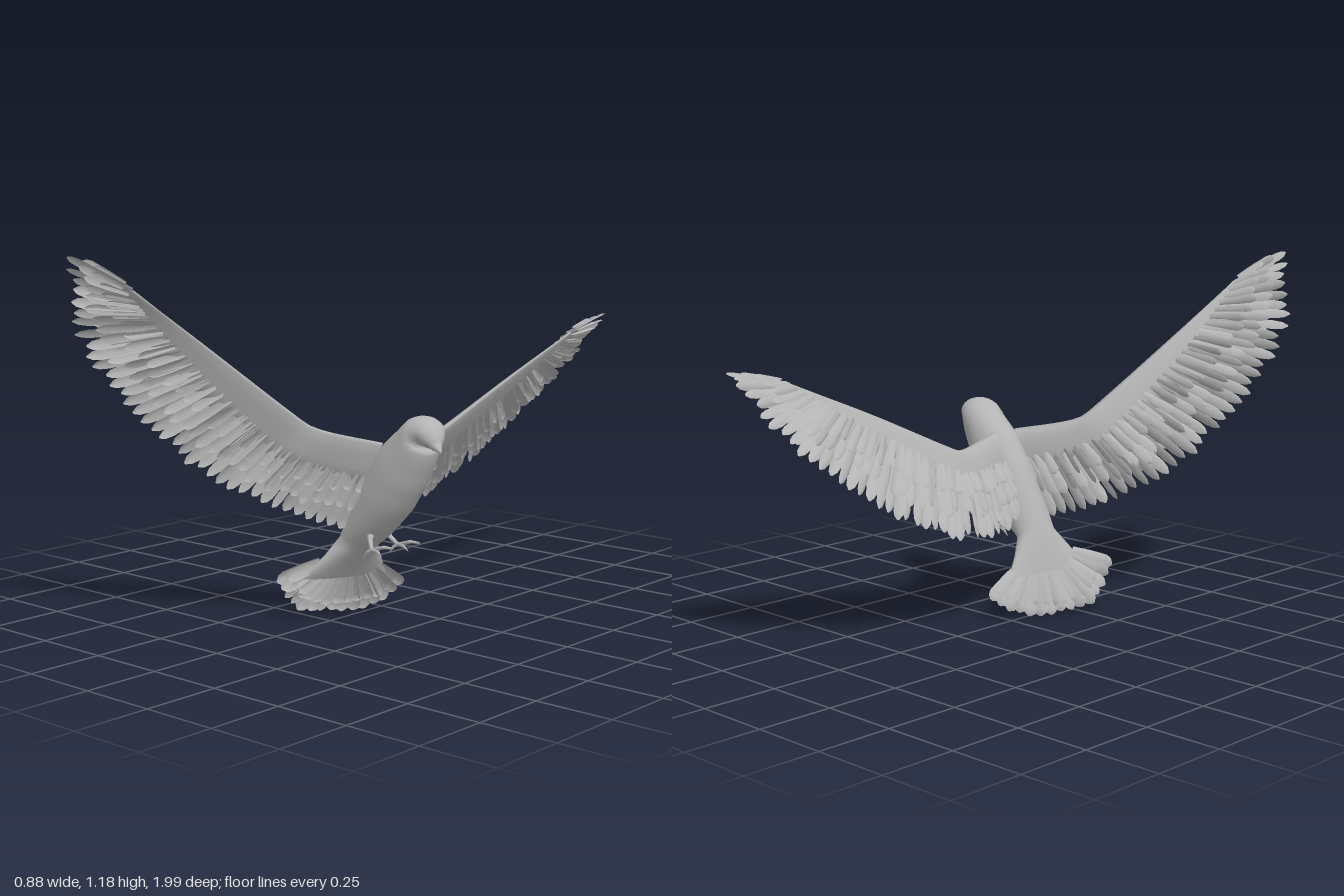
import * as THREE from 'three';
import { mergeGeometries } from 'three/addons/utils/BufferGeometryUtils.js';

const V = (x, y, z) => new THREE.Vector3(x, y, z);
const curve = (pts) => new THREE.CatmullRomCurve3(pts.map((p) => V(...p)), false, 'centripetal');

let seed = 7;
const rand = () => {
  seed = (seed * 16807) % 2147483647;
  return seed / 2147483647;
};
const jitter = (a) => (rand() * 2 - 1) * a;

const plumage = new THREE.MeshStandardMaterial({ color: 0xb4b4b4, side: THREE.DoubleSide });
plumage.name = 'plumage grey';

function mesh(name, geometry) {
  const m = new THREE.Mesh(geometry, plumage);
  m.name = name;
  return m;
}

// Surface through rows of points; closed joins each row into a ring
function loft(rows, closed) {
  const n = rows[0].length;
  const pos = [];
  const index = [];
  rows.forEach((row) => row.forEach((p) => pos.push(p.x, p.y, p.z)));
  for (let i = 0; i < rows.length - 1; i++) {
    for (let j = 0; j < (closed ? n : n - 1); j++) {
      const a = i * n + j, b = i * n + ((j + 1) % n);
      index.push(a, b, a + n, b, b + n, a + n);
    }
  }
  const g = new THREE.BufferGeometry();
  g.setAttribute('position', new THREE.Float32BufferAttribute(pos, 3));
  g.setIndex(index);
  g.computeVertexNormals();
  return g;
}

// One ridged feather with a short point, rolled about its shaft
function feather(root, tip, halfWidth, normal, roll) {
  const axis = tip.clone().sub(root).normalize();
  const side = axis.clone().cross(normal).normalize().applyAxisAngle(axis, roll);
  const up = side.clone().cross(axis);
  const outline = [[0, 0.55], [0.4, 0.85], [0.82, 1], [0.93, 0.75], [1, 0.15]];
  return loft(outline.map(([s, w]) => {
    const c = root.clone().lerp(tip, s);
    const h = halfWidth * w;
    return [
      c.clone().addScaledVector(side, -h),
      c.clone().addScaledVector(up, h * 0.45),
      c.clone().addScaledVector(side, h),
    ];
  }), false);
}

// Body: elliptical sections [x, y, z, half depth, half width] from rump to beak
function makeBody() {
  const across = V(-0.3, 0.04, 0.95).normalize();
  const sections = [
    [-0.008, 0.145, 0.175, 0.012, 0.158], [0.025, 0.21, 0.175, 0.03, 0.108],
    [0.06, 0.27, 0.178, 0.048, 0.068], [0.12, 0.345, 0.18, 0.075, 0.078],
    [0.19, 0.44, 0.182, 0.098, 0.086], [0.25, 0.53, 0.185, 0.1, 0.085],
    [0.305, 0.6, 0.19, 0.08, 0.075], [0.335, 0.643, 0.193, 0.06, 0.069],
    [0.365, 0.65, 0.2, 0.046, 0.057], [0.395, 0.63, 0.21, 0.03, 0.036],
    [0.41, 0.617, 0.217, 0.017, 0.02], [0.437, 0.602, 0.228, 0.002, 0.002],
  ];
  const centres = sections.map((s) => V(s[0], s[1], s[2]));
  const path = new THREE.CatmullRomCurve3(centres, false, 'centripetal');
  const rows = [];
  const steps = (sections.length - 1) * 3;
  for (let i = 0; i <= steps; i++) {
    const u = i / steps;
    const k = Math.min(Math.floor(i / 3), sections.length - 2);
    const f = i / 3 - k;
    const size = (n) => THREE.MathUtils.lerp(sections[k][n], sections[k + 1][n], f);
    const out = path.getTangent(u).cross(across).normalize();
    const c = path.getPoint(u);
    rows.push(Array.from({ length: 24 }, (_, j) => {
      const a = (j / 24) * Math.PI * 2;
      return c.clone().addScaledVector(out, Math.cos(a) * size(3)).addScaledVector(across, Math.sin(a) * size(4));
    }));
  }
  return mesh('body', loft(rows, true));
}

// Wing: a smooth arm along the leading edge plus overlapping feather rows
function makeWing(name, leading, trailing, flip) {
  const L = curve(leading), T = curve(trailing);
  const wing = new THREE.Group();
  wing.name = name;
  const at = (u, chord) => L.getPointAt(u).lerp(T.getPointAt(u), chord);
  const normalAt = (u) => T.getPointAt(u).sub(L.getPointAt(u)).cross(L.getTangentAt(u)).normalize().multiplyScalar(flip);

  // Arm section: [chord fraction, height]
  const profile = [[0, 0], [0.03, 0.014], [0.14, 0.02], [0.32, 0.012], [0.5, 0], [0.32, -0.006], [0.14, -0.008], [0.03, -0.007]];
  const rows = [];
  for (let i = 0; i <= 28; i++) {
    const u = i / 28, n = normalAt(u);
    const thin = 1.2 - 0.9 * u;
    rows.push(profile.map(([c, h]) => at(u, c * (1 - 0.25 * u)).addScaledVector(n, h * thin)));
  }
  wing.add(mesh(name + 'Arm', loft(rows, true)));

  // Feather rows: [name, count, root chord, tip chord, half width, height at root, height at tip]
  const featherRows = [
    ['FlightFeathers', 36, 0.36, 1.01, 0.021, 0.002, 0],
    ['UpperCoverts', 34, 0.36, 0.8, 0.019, 0.01, 0.012],
    ['UpperSmallCoverts', 32, 0.32, 0.6, 0.018, 0.013, 0.02],
    ['LowerCoverts', 34, 0.38, 0.82, 0.019, -0.006, -0.012],
    ['LowerSmallCoverts', 30, 0.36, 0.62, 0.016, -0.005, -0.013],
  ];
  featherRows.forEach(([label, count, c0, c1, width, h0, h1]) => {
    const parts = [];
    for (let i = 0; i < count; i++) {
      const u = i / (count - 1), n = normalAt(u);
      const root = at(u, c0 * (1 - 0.6 * u)).addScaledVector(n, h0);
      const tip = at(u, c1 - rand() * 0.09 * (u < 1 ? 1 : 0)).addScaledVector(n, h1 + jitter(0.008));
      parts.push(feather(root, tip, width * (1 - 0.2 * u), n, 0.3 + jitter(0.65)));
    }
    wing.add(mesh(name + label, mergeGeometries(parts)));
  });
  return wing;
}

// Tail: layers of feathers fanned from under the rump
function makeTail() {
  const tips = curve([[0.045, 0.075, -0.06], [0.015, 0.022, 0.02], [-0.045, 0.008, 0.13], [-0.108, 0.03, 0.28], [-0.1, 0.145, 0.4]]);
  const base = V(0.035, 0.25, 0.178);
  const normal = V(-0.8, 0.5, -0.3).normalize();
  const parts = [];
  [[15, 1, 0.025, 0], [14, 0.9, 0.022, 0.004], [13, 0.86, 0.022, -0.01]].forEach(([count, reach, width, lift]) => {
    for (let i = 0; i < count; i++) {
      const end = tips.getPointAt(i / (count - 1));
      const root = base.clone().lerp(end, 0.42).addScaledVector(normal, lift * 0.5);
      const tip = base.clone().lerp(end, reach - rand() * 0.05).addScaledVector(normal, lift);
      parts.push(feather(root, tip, width, normal, 0.2 + jitter(0.5)));
    }
  });
  return mesh('tailFeathers', mergeGeometries(parts));
}

// Leg: thigh, shank and four slim clawed toes
function makeLeg(name, hip, foot) {
  const leg = new THREE.Group();
  leg.name = name;
  const limb = (a, b, r0, r1) => {
    const g = new THREE.CylinderGeometry(r1, r0, a.distanceTo(b), 8);
    const m = mesh('limb', g);
    m.position.copy(a).lerp(b, 0.5);
    m.quaternion.setFromUnitVectors(V(0, 1, 0), b.clone().sub(a).normalize());
    leg.add(m);
  };
  const knee = hip.clone().lerp(foot, 0.45).add(V(-0.005, -0.012, 0));
  limb(hip, knee, 0.018, 0.009);
  limb(knee, foot, 0.008, 0.006);
  [[0.1, 0.02, 0.015], [0.08, -0.002, 0.045], [0.07, 0.012, -0.025], [-0.03, -0.028, 0.005]].forEach((d) => {
    const end = foot.clone().add(V(...d));
    const mid = foot.clone().lerp(end, 0.55).add(V(0, 0.006, 0));
    limb(foot, mid, 0.006, 0.005);
    limb(mid, end, 0.005, 0.001);
  });
  return leg;
}

export function createModel() {
  seed = 7;
  const bird = new THREE.Group();
  bird.name = 'bird';
  bird.add(makeBody());
  bird.add(makeWing('nearWing',
    [[0.2, 0.605, 0.22], [0.05, 0.637, 0.315], [0.005, 0.655, 0.345], [-0.02, 0.69, 0.385], [-0.16, 0.93, 0.65], [-0.24, 1.09, 0.84]],
    [[0.05, 0.32, 0.26], [-0.09, 0.345, 0.34], [-0.235, 0.45, 0.5], [-0.36, 0.65, 0.7], [-0.435, 0.88, 0.87], [-0.42, 1.05, 0.94], [-0.35, 1.19, 0.995]], 1));
  bird.add(makeWing('farWing',
    [[0.21, 0.6, 0.12], [0.145, 0.58, -0.08], [0.13, 0.585, -0.125], [0.135, 0.605, -0.17], [0.17, 0.74, -0.46], [0.2, 0.87, -0.77]],
    [[0.06, 0.32, 0.11], [-0.025, 0.315, -0.1], [-0.04, 0.355, -0.35], [-0.02, 0.445, -0.55], [0.03, 0.585, -0.75], [0.1, 0.735, -0.89], [0.19, 0.92, -0.995]], -1));
  bird.add(makeTail());
  bird.add(makeLeg('nearLeg', V(0.14, 0.335, 0.21), V(0.2, 0.275, 0.275)));
  bird.add(makeLeg('farLeg', V(0.15, 0.335, 0.155), V(0.2, 0.272, 0.15)));
  return bird;
}
